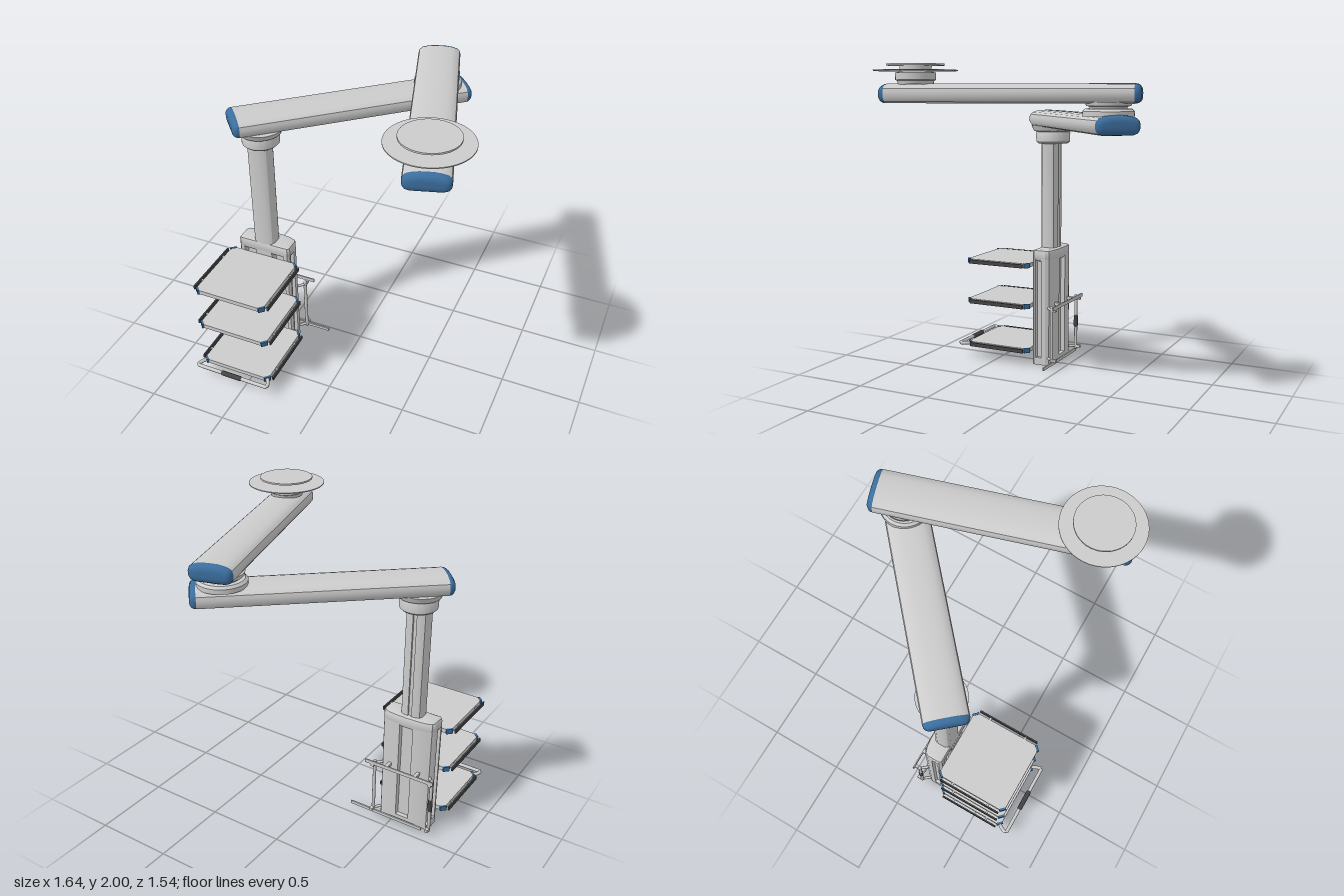
import * as THREE from 'three';
import { toCreasedNormals } from 'three/addons/utils/BufferGeometryUtils.js';

const grey = new THREE.MeshStandardMaterial({ color: 0xcccccc });
const blue = new THREE.MeshStandardMaterial({ color: 0x3b6e9e });
const dark = new THREE.MeshStandardMaterial({ color: 0x444444 });
const CX = -0.571; // axis of the equipment column

function add(parent, name, geo, mat = grey, x = 0, y = 0, z = 0) {
  const mesh = new THREE.Mesh(geo, mat);
  mesh.name = name;
  mesh.position.set(x, y, z);
  parent.add(mesh);
  return mesh;
}
const box = (parent, name, w, h, d, x, y, z, mat) =>
  add(parent, name, new THREE.BoxGeometry(w, h, d), mat, x, y, z);

// Closed outline from its right half, mirrored in x
function mirrored(half) {
  const left = half.filter(p => p[0] !== 0).reverse().map(([x, y]) => [-x, y]);
  return half.concat(left);
}
const shapeOf = pts => new THREE.Shape(pts.map(p => new THREE.Vector2(p[0], p[1])));

// Plan outline in (x, z) raised from y0 to y1
function slab(pts, y0, y1, bevel = 0) {
  const geo = new THREE.ExtrudeGeometry(shapeOf(pts.map(([x, z]) => [x, -z])), {
    depth: y1 - y0 - bevel, bevelEnabled: bevel > 0, bevelThickness: bevel,
    bevelSize: bevel, bevelOffset: -bevel, bevelSegments: 2,
  });
  geo.rotateX(-Math.PI / 2).translate(0, y0, 0);
  return toCreasedNormals(geo, 0.5);
}

function turned(parent, name, x, z, profile) {
  const geo = new THREE.LatheGeometry(profile.map(p => new THREE.Vector2(p[0], p[1])), 40);
  return add(parent, name, toCreasedNormals(geo, 0.5), grey, x, 0, z);
}

function tube(parent, name, pts, r, mat = grey) {
  const path = new THREE.CurvePath();
  const v = pts.map(p => new THREE.Vector3(...p));
  for (let i = 1; i < v.length; i++) path.add(new THREE.LineCurve3(v[i - 1], v[i]));
  const curve = v.length > 2 ? new THREE.CatmullRomCurve3(v, false, 'catmullrom', 0.2) : path;
  const geo = new THREE.TubeGeometry(curve, v.length > 2 ? 40 : 1, r, 10);
  add(parent, name, geo, mat);
  for (const e of [v[0], v[v.length - 1]])
    add(parent, name + 'End', new THREE.SphereGeometry(r, 10, 6), mat, e.x, e.y, e.z);
}

// Horizontal boom with rounded section and domed blue ends
function boom(parent, name, x, y, z, dx, dz) {
  const g = new THREE.Group();
  g.name = name;
  g.position.set(x, y, z);
  g.rotation.y = Math.atan2(dx, dz);
  const length = 1.4;
  const section = shapeOf(mirrored([
    [0, -0.055], [0.085, -0.055], [0.112, -0.046], [0.126, -0.026], [0.128, 0.005],
    [0.122, 0.026], [0.105, 0.04], [0.075, 0.049], [0.04, 0.054], [0, 0.055],
  ]));
  const body = new THREE.ExtrudeGeometry(section, { depth: length, bevelEnabled: false });
  add(g, 'armBeam', toCreasedNormals(body, 0.6));
  const cap = toCreasedNormals(new THREE.ExtrudeGeometry(section, {
    depth: 0.002, bevelThickness: 0.035, bevelSize: 0.035, bevelOffset: -0.035, bevelSegments: 4,
  }), 0.6);
  add(g, 'endCap', cap, blue, 0, 0, -0.002);
  add(g, 'endCap', cap, blue, 0, 0, length);
  parent.add(g);
}

function shelf(parent, y) {
  const g = new THREE.Group();
  g.name = 'shelf';
  g.position.set(-0.566, y, 0.465);
  const h = 0.231, c = 0.025;
  add(g, 'shelfPlate', slab(mirrored([
    [0, -h], [h - c, -h], [h, -h + c], [h, h - c], [h - c, h], [0, h]]), -0.014, 0.014));
  for (const sx of [-1, 1]) {
    // blue corner bumpers
    for (const sz of [-1, 1]) {
      const corner = box(g, 'cornerBumper', 0.042, 0.032, 0.014, sx * (h - 0.012), 0, sz * (h - 0.012), blue);
      corner.rotation.y = sx * sz * Math.PI / 4;
    }
    // side equipment rail on two stand-offs
    box(g, 'sideRail', 0.01, 0.026, 0.41, sx * 0.252, 0, 0, dark);
    for (const z of [-0.125, 0.125]) box(g, 'railStandoff', 0.03, 0.012, 0.014, sx * 0.238, 0, z);
  }
  parent.add(g);
}

export function createModel() {
  const root = new THREE.Group();
  root.name = 'ceilingPendant';

  // Ceiling mount
  turned(root, 'ceilingMount', 0.58, 0.48, [
    [0, 1.885], [0.1, 1.885], [0.105, 1.905], [0.115, 1.91], [0.115, 1.95], [0.09, 1.957], [0.09, 1.992], [0, 1.992]]);
  add(root, 'ceilingFlange', new THREE.CylinderGeometry(0.239, 0.239, 0.006, 64), grey, 0.58, 1.963, 0.48);
  add(root, 'ceilingPlate', new THREE.CylinderGeometry(0.165, 0.165, 0.01, 64), grey, 0.58, 1.995, 0.48);

  // Two booms and the joint between them
  boom(root, 'upperArm', 0.22, 1.835, -0.712, 0.289, 0.957);
  boom(root, 'lowerArm', -0.681, 1.665, 0.249, 0.755, -0.656);
  turned(root, 'elbowJoint', 0.265, -0.572, [
    [0, 1.71], [0.145, 1.71], [0.145, 1.738], [0.13, 1.752], [0.105, 1.754],
    [0.105, 1.762], [0.125, 1.768], [0.13, 1.79], [0, 1.79]]);
  turned(root, 'columnCollar', -0.573, 0.157, [
    [0, 1.5], [0.1, 1.5], [0.113, 1.512], [0.115, 1.57], [0.112, 1.578],
    [0.13, 1.585], [0.145, 1.62], [0, 1.62]]);

  // Drop column with a cable groove at the back
  add(root, 'dropColumn', slab(mirrored([
    [0, 0.224], [0.045, 0.222], [0.062, 0.212], [0.071, 0.195], [0.071, 0.142], [0.062, 0.125],
    [0.045, 0.116], [0.012, 0.113], [0.012, 0.125], [0, 0.125]]), 0.75, 1.505), grey, -0.575);

  // Equipment column: grooved middle between plain foot and head
  const plain = mirrored([[0, 0.228], [0.165, 0.228], [0.178, 0.212], [0.178, 0.13],
    [0.165, 0.108], [0.13, 0.094], [0.07, 0.087], [0, 0.085]]);
  const grooved = mirrored([[0, 0.228], [0.055, 0.228], [0.065, 0.19], [0.135, 0.19], [0.14, 0.228],
    [0.165, 0.228], [0.178, 0.212], [0.178, 0.2], [0.155, 0.198], [0.155, 0.162], [0.178, 0.16],
    [0.178, 0.13], [0.165, 0.108], [0.13, 0.094], [0.07, 0.087], [0.045, 0.086], [0.042, 0.115], [0, 0.115]]);
  const housing = new THREE.Group();
  housing.name = 'equipmentColumn';
  housing.position.x = CX;
  add(housing, 'columnFoot', slab(plain, 0, 0.05));
  add(housing, 'columnMiddle', slab(grooved, 0.05, 0.735));
  add(housing, 'columnHead', slab(plain, 0.735, 0.795, 0.02));
  root.add(housing);

  // Shelves with their brackets
  for (const y of [0.69, 0.41, 0.104]) shelf(root, y);
  for (const y of [0.65, 0.37]) box(root, 'shelfBracket', 0.18, 0.055, 0.02, CX, y, 0.236);

  // Push handle on the lowest shelf
  const hy = 0.104, hx = -0.566;
  tube(root, 'pushHandle', [
    [hx - 0.22, hy, 0.685], [hx - 0.24, hy, 0.715], [hx - 0.25, hy, 0.75], [hx - 0.22, hy, 0.752],
    [hx + 0.22, hy, 0.752], [hx + 0.25, hy, 0.75], [hx + 0.24, hy, 0.715], [hx + 0.22, hy, 0.685]], 0.012);
  tube(root, 'handleGrip', [[hx - 0.06, hy, 0.752], [hx + 0.06, hy, 0.752]], 0.016, dark);

  // Rear rails, posts and clamps
  box(root, 'upperRearRail', 0.48, 0.024, 0.008, -0.56, 0.42, 0.036);
  box(root, 'lowerRearRail', 0.52, 0.02, 0.01, -0.47, 0.036, 0.056);
  for (const x of [-0.775, -0.37]) {
    const inner = x < CX ? -0.73 : -0.42;
    tube(root, 'rearPost', [[x, 0.036, 0.07], [x, 0.415, 0.07]], 0.011);
    for (const y of [0.05, 0.4]) {
      tube(root, 'postClamp', [[x, y, 0.07], [inner, y, 0.125]], 0.009);
      box(root, 'railClamp', 0.02, 0.02, 0.04, x, y, 0.055);
    }
  }
  tube(root, 'postGrip', [[-0.775, 0.2, 0.07], [-0.775, 0.265, 0.07]], 0.015, dark);
  for (const x of [-0.67, -0.47]) box(root, 'railMount', 0.02, 0.02, 0.06, x, 0.42, 0.066);

  return root;
}
